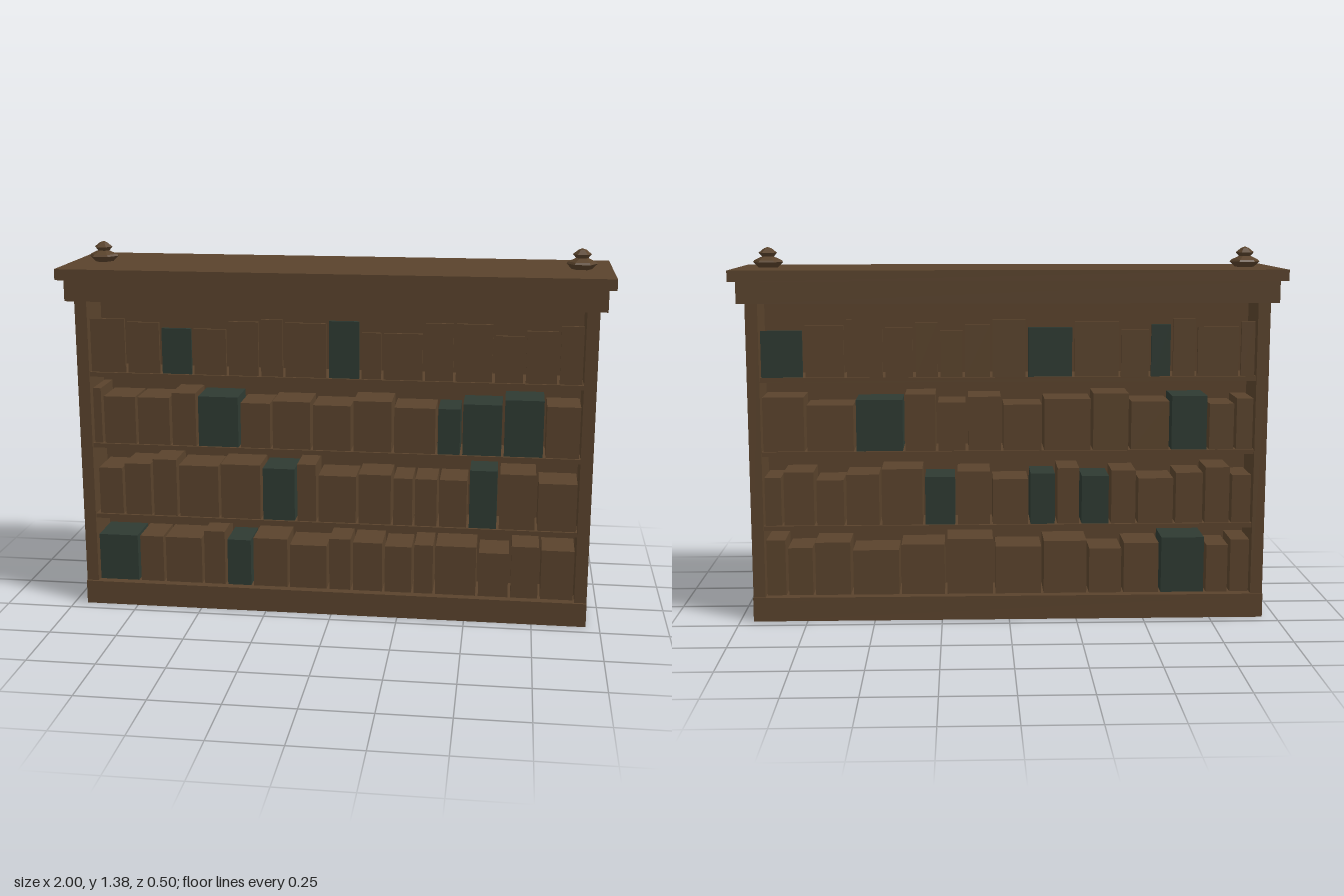
import * as THREE from 'three';

const wood = new THREE.MeshStandardMaterial({ color: 0x5a432c });
wood.name = 'brown wood';
const green = new THREE.MeshStandardMaterial({ color: 0x2e3a32 });
green.name = 'dark green cloth';

// Box given by its minimum and maximum on each axis
function slab(parent, name, [x0, x1], [y0, y1], [z0, z1], material = wood) {
  const mesh = new THREE.Mesh(new THREE.BoxGeometry(x1 - x0, y1 - y0, z1 - z0), material);
  mesh.position.set((x0 + x1) / 2, (y0 + y1) / 2, (z0 + z1) / 2);
  mesh.name = name;
  parent.add(mesh);
  return mesh;
}

// Rows from top to bottom: left edge of each book and its height, in hundredths
const frontRows = [
  { x: [-90, -76, -63, -51, -38, -26, -17, -1, 11, 19, 34, 45, 59, 70, 82],
    h: [20, 19, 17, 17, 20, 21, 20, 21, 17, 17, 21, 21, 17, 19, 21], green: [2, 7] },
  { x: [-90, -86, -73, -60, -50, -34, -22, -7, 8, 23, 39, 48, 63, 78],
    h: [21, 18, 18, 20, 19, 17, 18, 17, 19, 17, 17, 19, 21, 19], green: [4, 10, 11, 12] },
  { x: [-89, -79, -68, -58, -42, -26, -13, -5, 10, 23, 31, 40, 51, 62, 76],
    h: [18, 20, 22, 20, 21, 20, 22, 18, 19, 18, 18, 18, 22, 21, 18], green: [5, 12] },
  { x: [-90, -74, -64, -49, -40, -30, -16, -1, 8, 20, 31, 39, 55, 67, 78],
    h: [18, 18, 18, 21, 18, 19, 17, 20, 19, 18, 19, 19, 17, 20, 19], green: [0, 4] },
];
const backRows = [
  { x: [-90, -74, -59, -45, -34, -25, -16, -6, 7, 24, 41, 52, 60, 69, 85], green: [0, 8, 11] },
  { x: [-90, -74, -56, -38, -26, -15, -2, 13, 31, 45, 60, 74, 84], green: [2, 10] },
  { x: [-90, -83, -71, -60, -47, -31, -19, -6, 8, 18, 27, 38, 48, 62, 73, 83], green: [5, 8, 10] },
  { x: [-90, -82, -72, -58, -40, -23, -5, 13, 30, 43, 57, 74, 83], green: [10] },
];
const shelfTops = [0.909, 0.636, 0.358, 0.092];

function makeBooks(rows, name) {
  const group = new THREE.Group();
  group.name = name;
  rows.forEach((row, r) => {
    row.x.forEach((start, i) => {
      const end = row.x[i + 1] ?? 91;
      const height = row.h ? row.h[i] : 17 + ((i * 7 + r * 3) % 5);
      // The top row holds shallow spines only
      const back = r === 0 ? 0.16 : 0.02;
      slab(group, 'book', [start / 100, end / 100 - 0.01],
        [shelfTops[r], shelfTops[r] + height / 100], [back, 0.172],
        row.green.includes(i) ? green : wood);
    });
  });
  return group;
}

function makeFinial(x) {
  const profile = [[0.036, 0], [0.056, 0.02], [0.05, 0.027], [0.022, 0.04],
    [0.034, 0.054], [0.014, 0.07], [0, 0.075]].map(([a, b]) => new THREE.Vector2(a, b));
  const geometry = new THREE.LatheGeometry(profile, 6).toNonIndexed();
  geometry.computeVertexNormals();
  const mesh = new THREE.Mesh(geometry, wood);
  mesh.rotation.y = Math.PI / 6;
  mesh.position.set(x, 1.3, 0);
  mesh.name = 'finial';
  return mesh;
}

export function createModel() {
  const model = new THREE.Group();
  model.name = 'doubleSidedBookcase';

  // Cornice
  slab(model, 'topBoard', [-1, 1], [1.26, 1.3], [-0.25, 0.25]);
  slab(model, 'frieze', [-0.975, 0.975], [1.18, 1.26], [-0.225, 0.225]);

  // Carcass
  slab(model, 'leftSide', [0.905, 0.95], [0.085, 1.18], [-0.19, 0.19]);
  slab(model, 'rightSide', [-0.95, -0.905], [0.085, 1.18], [-0.19, 0.19]);
  slab(model, 'middlePanel', [-0.905, 0.905], [0.085, 1.18], [-0.015, 0.015]);
  for (const y of shelfTops.slice(0, 3)) {
    slab(model, 'shelf', [-0.905, 0.905], [y - 0.017, y], [-0.182, 0.182]);
  }

  // Hollow plinth, open underneath
  slab(model, 'bottomShelf', [-0.95, 0.95], [0.08, 0.09], [-0.2, 0.2]);
  for (const s of [-1, 1]) {
    slab(model, 'plinthBoard', [-0.95, 0.95], [0, 0.08], s > 0 ? [0.195, 0.2] : [-0.2, -0.195]);
    slab(model, 'plinthEnd', s > 0 ? [0.945, 0.95] : [-0.95, -0.945], [0, 0.08], [-0.195, 0.195]);
  }

  // Panels on one end
  for (const y of [[0.18, 0.575], [0.655, 1.08]]) {
    slab(model, 'endPanel', [-0.954, -0.949], y, [-0.13, 0.13]);
  }

  // Books on both faces
  model.add(makeBooks(frontRows, 'frontBooks'));
  const backBooks = makeBooks(backRows, 'backBooks');
  backBooks.rotation.y = Math.PI;
  model.add(backBooks);

  for (const s of [-1, 1]) model.add(makeFinial(s * 0.888));
  return model;
}
